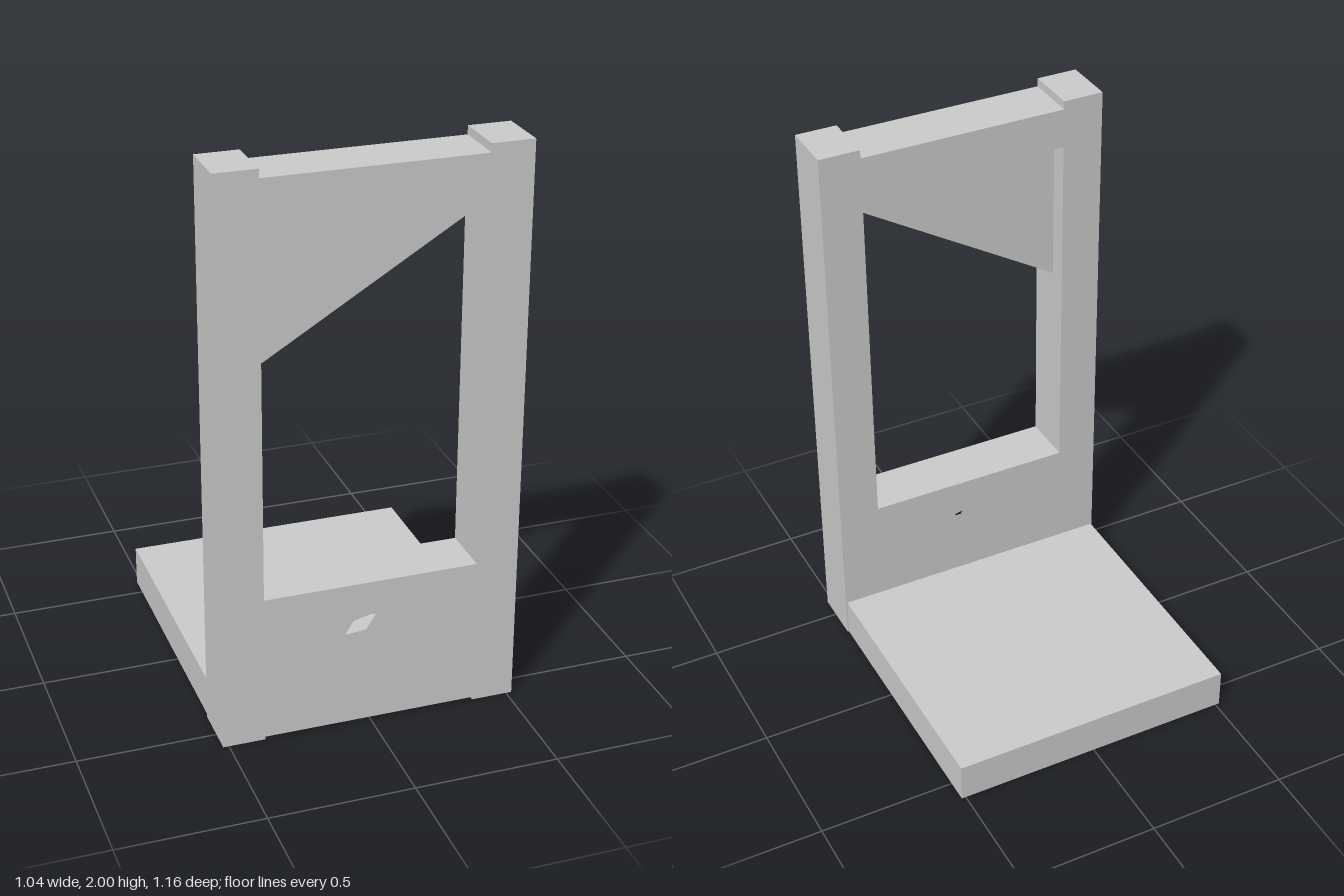
import * as THREE from 'three';

const material = new THREE.MeshStandardMaterial({
  color: 0xcccccc, flatShading: true, side: THREE.DoubleSide,
});

const INNER = 0.373, OUTER = 0.52;   // opening half width, frame half width
const BACK = 0.388, FRONT = 0.58;    // frame depth range
const DEPTH = FRONT - BACK, MID = (FRONT + BACK) / 2;

function add(parent, name, geometry, x = 0, y = 0, z = 0) {
  const mesh = new THREE.Mesh(geometry, material);
  mesh.name = name;
  mesh.position.set(x, y, z);
  parent.add(mesh);
  return mesh;
}

// Box standing on y = 0 with its underside left open
function openBox(w, h, d) {
  const geometry = new THREE.BoxGeometry(w, h, d).translate(0, h / 2, 0);
  const index = Array.from(geometry.index.array);
  index.splice(18, 6); // the -y face
  geometry.setIndex(index);
  geometry.clearGroups();
  return geometry;
}

function polygon(points) {
  return points.map(([x, y]) => new THREE.Vector2(x, y));
}

export function createModel() {
  const model = new THREE.Group();
  model.name = 'bladeFrame';

  // Hollow base platform behind the frame
  add(model, 'basePlatform', openBox(1.03, 0.143, 0.965), 0, 0, -0.0975);

  // Two upright posts
  for (const side of [1, -1]) {
    add(model, side > 0 ? 'leftPost' : 'rightPost', openBox(OUTER - INNER, 2, DEPTH),
      side * (OUTER + INNER) / 2, 0, MID);
  }

  // Top cross rail
  add(model, 'topRail', new THREE.BoxGeometry(INNER * 2, 0.143, DEPTH), 0, 1.8985, MID);

  // Lower panel: two sheets with a neck hole, closed on top
  const panel = new THREE.Group();
  panel.name = 'lowerPanel';
  const sheet = new THREE.Shape(polygon([
    [-INNER, 0.01], [INNER, 0.01], [INNER, 0.533], [-INNER, 0.533],
  ]));
  sheet.holes.push(new THREE.Path(polygon([
    [0, 0.413], [0.063, 0.397], [0.095, 0.35], [0.09, 0.29], [0.053, 0.233],
    [-0.048, 0.223], [-0.095, 0.307], [-0.09, 0.355], [-0.063, 0.397],
  ])));
  const sheetGeometry = new THREE.ShapeGeometry(sheet);
  add(panel, 'panelFront', sheetGeometry, 0, 0, FRONT);
  add(panel, 'panelBack', sheetGeometry.clone().rotateY(Math.PI).scale(-1, 1, 1), 0, 0, BACK);
  add(panel, 'panelTop', new THREE.PlaneGeometry(INNER * 2, DEPTH).rotateX(-Math.PI / 2), 0, 0.533, MID);
  model.add(panel);

  // Thin slanted blade hanging under the rail
  const blade = new THREE.Shape(polygon([
    [-INNER, 1.29], [INNER, 1.743], [INNER, 1.827], [-INNER, 1.827],
  ]));
  add(model, 'blade', new THREE.ShapeGeometry(blade), 0, 0, 0.455);

  return model;
}
